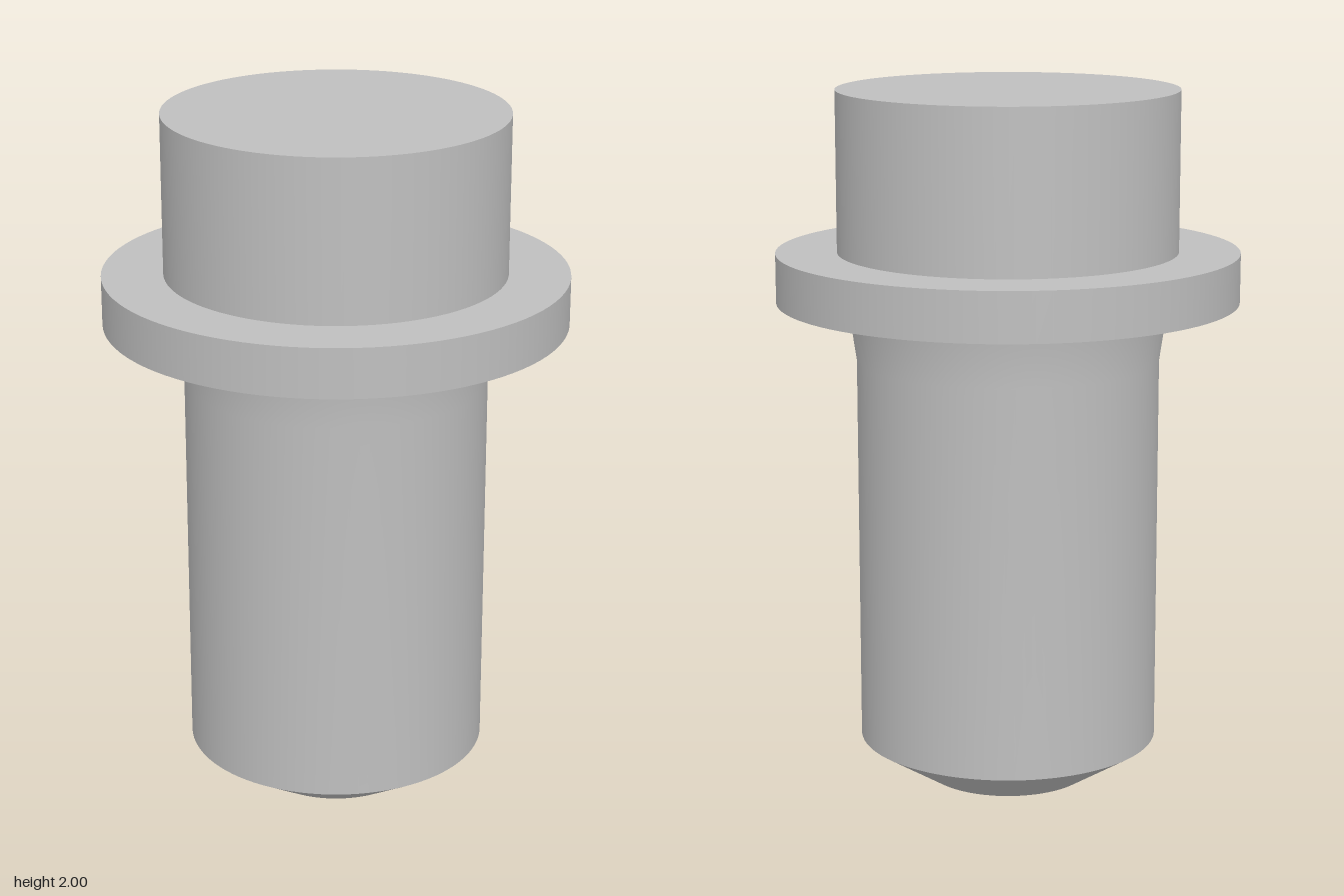
import * as THREE from 'three';

const SEGMENTS = 96;

export function createModel() {
  const group = new THREE.Group();
  group.name = 'flangedPin';
  const steel = new THREE.MeshStandardMaterial({ color: 0xbfbfbf });
  steel.name = 'grey steel';

  const add = (name, geometry, y = 0) => {
    const mesh = new THREE.Mesh(geometry, steel);
    mesh.name = name;
    mesh.position.y = y;
    group.add(mesh);
  };
  // Cylinder spanning y0 to y1
  const addCylinder = (name, rTop, rBottom, y0, y1) =>
    add(name, new THREE.CylinderGeometry(rTop, rBottom, y1 - y0, SEGMENTS), (y0 + y1) / 2);

  // Chamfered end
  addCylinder('chamferedTip', 0.43, 0.24, 0, 0.12);

  // Straight shank flaring smoothly into the underside of the flange
  const shankProfile = [[0.43, 0.12], [0.43, 1.235], [0.455, 1.405]]
    .map(([r, y]) => new THREE.Vector2(r, y));
  add('shank', new THREE.LatheGeometry(shankProfile, SEGMENTS));

  // Collar and head
  addCylinder('flange', 0.655, 0.655, 1.405, 1.545);
  addCylinder('head', 0.482, 0.482, 1.545, 2);

  return group;
}
